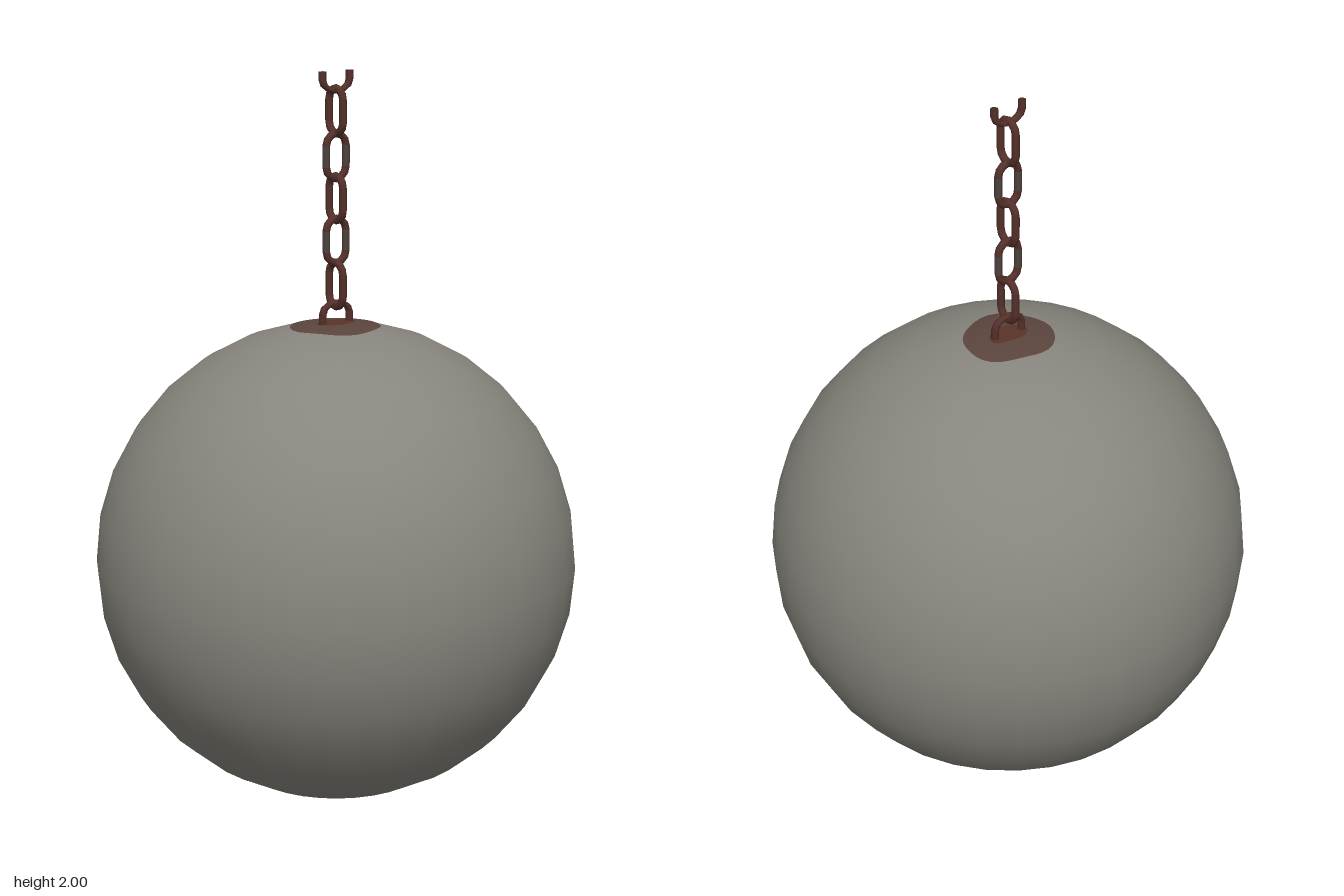
import * as THREE from 'three';

const WIRE = 0.0105;

export function createModel() {
  const mat = (name, color, side = THREE.FrontSide) => {
    const m = new THREE.MeshStandardMaterial({ color, side });
    m.name = name;
    return m;
  };
  const stone = mat('grey iron', 0x87857d);
  const stain = mat('rust stain', 0x5b453e);
  const deepStain = mat('deep rust', 0x5a3328);
  const rust = mat('rusty chain', 0x55302a, THREE.DoubleSide);
  const steel = mat('worn chain', 0x4d433e, THREE.DoubleSide);

  const model = new THREE.Group();
  model.name = 'wreckingBall';
  const add = (parent, name, geometry, material) => {
    const mesh = new THREE.Mesh(geometry, material);
    mesh.name = name;
    parent.add(mesh);
    return mesh;
  };

  // Ball
  const R = 0.66, CY = 0.6635;
  add(model, 'ball', new THREE.SphereGeometry(R, 32, 16), stone).position.y = CY;

  // Rust stains: thin wobbly caps hugging the ball at its poles
  function capGeometry(rx, rz, wobble, lift) {
    const rings = 4, n = 32, pos = [], nor = [], idx = [];
    for (let i = 0; i <= rings; i++) {
      for (let j = 0; j < n; j++) {
        const a = (j / n) * Math.PI * 2;
        const k = (i / rings) * (1 + wobble * (Math.sin(3 * a + 1) + 0.6 * Math.sin(5 * a)));
        const p = new THREE.Vector3(Math.cos(a) * rx * k, 0, Math.sin(a) * rz * k);
        p.y = Math.sqrt(R * R - p.x * p.x - p.z * p.z);
        p.normalize();
        nor.push(p.x, p.y, p.z);
        p.multiplyScalar(R + lift);
        pos.push(p.x, p.y, p.z);
        if (i < rings) {
          const b = i * n + j, c = i * n + ((j + 1) % n);
          idx.push(b, c, b + n, c, c + n, b + n);
        }
      }
    }
    const g = new THREE.BufferGeometry();
    g.setAttribute('position', new THREE.Float32BufferAttribute(pos, 3));
    g.setAttribute('normal', new THREE.Float32BufferAttribute(nor, 3));
    g.setIndex(idx);
    return g;
  }
  const topStain = add(model, 'topStain', capGeometry(0.118, 0.125, 0.04, 0.0015), stain);
  const core = add(model, 'topStainCore', capGeometry(0.036, 0.058, 0.05, 0.003), deepStain);
  const bottomStain = add(model, 'bottomStain', capGeometry(0.11, 0.115, 0.04, 0.0015), stain);
  bottomStain.rotation.x = Math.PI;
  for (const s of [topStain, core, bottomStain]) s.position.y = CY;

  // Chain pieces
  const chain = new THREE.Group();
  chain.name = 'chain';
  model.add(chain);

  // Curved end of a link, opening downwards (dir 1) or upwards (dir -1)
  function bend(parent, radius, squash, y, dir) {
    const g = new THREE.TorusGeometry(radius, WIRE, 8, 6, Math.PI);
    const end = add(parent, 'linkEnd', g, rust);
    end.position.y = y;
    end.scale.y = squash;
    if (dir < 0) end.rotation.z = Math.PI;
  }
  function sides(parent, radius, y0, y1, material) {
    for (const s of [-1, 1]) {
      const g = new THREE.CylinderGeometry(WIRE, WIRE, y1 - y0, 8, 1, true);
      add(parent, 'linkSide', g, material).position.set(s * radius, (y0 + y1) / 2, 0);
    }
  }
  function linkGroup(name, y, crossways) {
    const link = new THREE.Group();
    link.name = name;
    link.position.y = y;
    if (crossways) link.rotation.y = Math.PI / 2;
    chain.add(link);
    return link;
  }

  // Five whole links, alternating direction
  [1.428, 1.548, 1.662, 1.775, 1.895].forEach((y, i) => {
    const link = linkGroup('link', y, i % 2 === 1);
    const h = 0.028, r = 0.032;
    bend(link, r, 1, h, 1);
    bend(link, r, 1, -h, -1);
    sides(link, r, -h, h, i % 2 ? steel : rust);
  });

  // Anchor loop sunk into the ball, and the cut half link at the top
  const anchor = linkGroup('anchorLoop', 1.35, true);
  bend(anchor, 0.044, 0.7, 0, 1);
  sides(anchor, 0.044, -0.05, 0, rust);
  const cut = linkGroup('cutTopLink', 1.978, true);
  bend(cut, 0.044, 0.7, 0, -1);
  sides(cut, 0.044, 0, 0.022, rust);

  return model;
}
